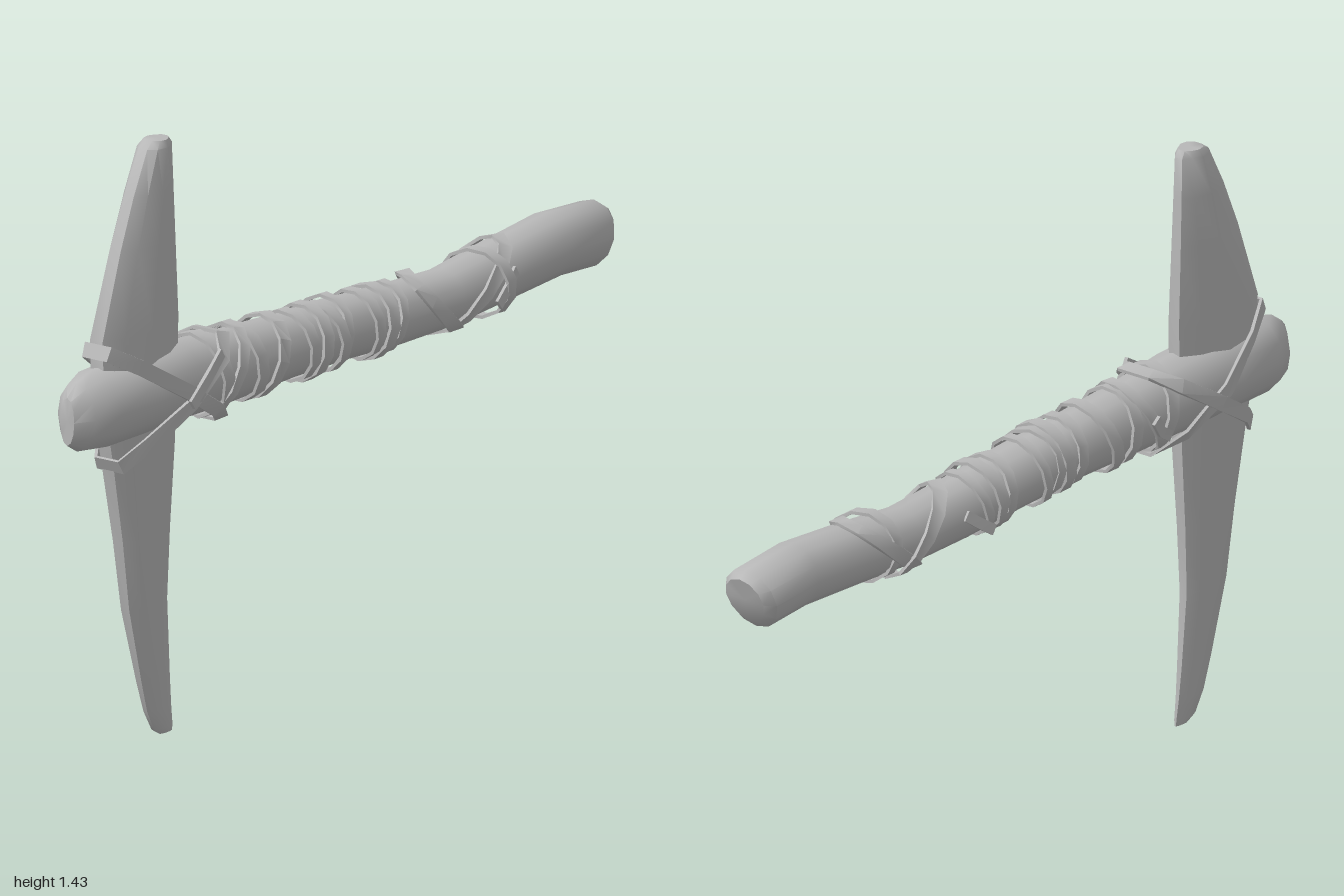
import * as THREE from 'three';
import { toCreasedNormals } from 'three/addons/utils/BufferGeometryUtils.js';

const V = (x, y, z) => new THREE.Vector3(x, y, z);

// Skin a list of equal-length rings; closed joins last to first, otherwise both ends are capped.
function loft(rings, closed, crease) {
  const n = rings[0].length, m = rings.length, pts = rings.flat(), index = [];
  for (let i = 0; i < (closed ? m : m - 1); i++) {
    for (let j = 0; j < n; j++) {
      const k = (j + 1) % n, a = i * n, b = ((i + 1) % m) * n;
      index.push(a + j, a + k, b + j, a + k, b + k, b + j);
    }
  }
  if (!closed) {
    for (const [ring, base, flip] of [[rings[0], 0, true], [rings[m - 1], (m - 1) * n, false]]) {
      const c = ring.reduce((s, p) => s.add(p), V(0, 0, 0)).divideScalar(n);
      const ci = pts.push(c) - 1;
      for (let j = 0; j < n; j++) {
        const k = (j + 1) % n;
        index.push(ci, base + (flip ? k : j), base + (flip ? j : k));
      }
    }
  }
  const g = new THREE.BufferGeometry().setFromPoints(pts);
  g.setIndex(index);
  return toCreasedNormals(g, crease);
}

// Handle sections: z, bottom y, top y, left x, right x
const SECTIONS = [
  [-0.98, 0.785, 0.9, -0.07, 0.04],
  [-0.955, 0.762, 0.915, -0.09, 0.062],
  [-0.8, 0.77, 0.925, -0.09, 0.068],
  [-0.6, 0.757, 0.905, -0.085, 0.07],
  [-0.4, 0.742, 0.882, -0.078, 0.066],
  [-0.2, 0.742, 0.89, -0.08, 0.068],
  [0, 0.752, 0.903, -0.085, 0.073],
  [0.2, 0.755, 0.91, -0.083, 0.075],
  [0.45, 0.748, 0.925, -0.085, 0.078],
  [0.6, 0.75, 0.938, -0.095, 0.087],
  [0.75, 0.748, 0.938, -0.097, 0.09],
  [0.9, 0.745, 0.935, -0.088, 0.08],
  [0.96, 0.752, 0.918, -0.06, 0.052],
  [1.0, 0.775, 0.89, -0.022, 0.02],
];

function sectionAt(z) {
  let i = 0;
  while (i < SECTIONS.length - 2 && SECTIONS[i + 1][0] < z) i++;
  const a = SECTIONS[i], b = SECTIONS[i + 1];
  const t = THREE.MathUtils.clamp((z - a[0]) / (b[0] - a[0]), 0, 1);
  return a.map((v, k) => v + (b[k] - v) * t);
}

function onHandle(z, angle, lift) {
  const [, y0, y1, x0, x1] = sectionAt(z);
  return V((x0 + x1) / 2 + ((x1 - x0) / 2 + lift) * Math.cos(angle),
    (y0 + y1) / 2 + ((y1 - y0) / 2 + lift) * Math.sin(angle), z);
}

function handleGeometry() {
  const rings = SECTIONS.map(([z]) => Array.from({ length: 12 }, (_, j) => {
    const p = onHandle(z, (j / 12) * Math.PI * 2, 0);
    if (z < -0.9) p.z -= 0.02 * Math.sin((j / 12) * Math.PI * 2); // slanted butt
    return p;
  }));
  return loft(rings, false, 0.9);
}

// Blade sections: y, back z, front z, half width
const BLADE = [
  [0.005, 0.606, 0.65, 0.006], [0.02, 0.606, 0.675, 0.011], [0.07, 0.613, 0.703, 0.016],
  [0.15, 0.621, 0.728, 0.023], [0.33, 0.635, 0.778, 0.035], [0.5, 0.627, 0.805, 0.042],
  [0.7, 0.612, 0.845, 0.05], [0.85, 0.605, 0.88, 0.054], [1.0, 0.6, 0.885, 0.053],
  [1.2, 0.609, 0.815, 0.046], [1.32, 0.614, 0.764, 0.041], [1.42, 0.618, 0.712, 0.036],
  [1.436, 0.63, 0.69, 0.028],
];
// Blade outline: depth fraction from the back, width fraction
const HALF = [[1, 0.35], [0.82, 0.85], [0.5, 1], [0.2, 0.72], [0, 0.3]];

function bladeGeometry() {
  const outline = [...HALF, ...HALF.map(([t, w]) => [t, -w]).reverse()];
  const rings = BLADE.map(([y, zb, zf, w]) =>
    outline.map(([t, s]) => V(-0.006 + w * s, y, zb + (zf - zb) * t)));
  return loft(rings, false, 0.7);
}

// Flat strip along a path, facing the given normals
function strip(path, normals, width, closed, thick = 0.008) {
  const n = path.length;
  const rings = path.map((p, i) => {
    const next = path[closed ? (i + 1) % n : Math.min(i + 1, n - 1)];
    const prev = path[closed ? (i + n - 1) % n : Math.max(i - 1, 0)];
    const t = next.clone().sub(prev).normalize();
    const u = normals[i].clone().addScaledVector(t, -normals[i].dot(t)).normalize();
    const v = t.clone().cross(u);
    return [[1, 1], [-1, 1], [-1, -1], [1, -1]].map(([a, b]) =>
      p.clone().addScaledVector(u, (a * thick) / 2).addScaledVector(v, (b * width) / 2));
  });
  return loft(rings, closed, 0.6);
}

// Wraps: z, lean from top to bottom, lean from side to side, width, sideways slip
const WRAPS = [
  [0.5, 0.02, 0.01, 0.035, 0], [0.45, -0.06, 0.02, 0.03, 0],
  [0.37, 0.01, 0.005, 0.035, 0], [0.295, -0.035, 0.01, 0.035, 0],
  [0.18, 0.008, 0.005, 0.032, 0.006], [0.135, -0.012, 0.01, 0.035, 0.008],
  [0.085, 0.01, -0.012, 0.03, 0.008], [0.045, -0.02, 0.012, 0.025, 0],
  [-0.08, 0.008, 0.01, 0.03, 0], [-0.115, -0.015, 0.005, 0.035, 0.004],
  [-0.165, -0.025, 0.008, 0.025, 0], [-0.36, 0.09, 0.06, 0.035, -0.005],
  [-0.49, -0.12, 0.02, 0.035, 0], [-0.52, 0.008, -0.02, 0.03, 0.01],
];

function wrapGeometry([z, lean, side, width, slip], i) {
  const path = [], normals = [];
  for (let j = 0; j < 12; j++) {
    const a = ((j + 0.3 * (i % 3)) / 12) * Math.PI * 2;
    const p = onHandle(z + lean * Math.sin(a) + side * Math.cos(a), a, 0.007 + 0.004 * (i % 2));
    p.x += slip;
    path.push(p);
    normals.push(V(Math.cos(a), Math.sin(a), 0));
  }
  return strip(path, normals, width, true);
}

// Diagonal lashing: round the blade's front edge on one side, under the handle on the other
function lashingGeometry(up) {
  const half = up > 0
    ? [[0.035, 0.975, 0.89], [0.07, 0.93, 0.81], [0.104, 0.85, 0.68], [0.088, 0.775, 0.55], [0.04, 0.735, 0.48]]
    : [[0.035, 0.695, 0.845], [0.07, 0.74, 0.79], [0.104, 0.82, 0.66], [0.088, 0.9, 0.53], [0.04, 0.935, 0.475]];
  const pts = [...half, ...half.map(([x, y, z]) => [-x, y, z]).reverse()].map((p) => V(...p));
  if (up < 0) pts.reverse();
  const normals = pts.map((p) => p.z > 0.75
    ? V(p.x * 1.5, (p.y - 0.84) * 0.3, 0.1) : V(p.x * 1.5, p.y - 0.84, 0));
  return strip(pts, normals, 0.036, true);
}

// Loose strap ends
const ENDS = [
  [[0.09, 0.91, 0.54], [0.107, 0.87, 0.61], [0.113, 0.82, 0.68]],
  [[-0.085, 0.79, 0.49], [-0.1, 0.82, 0.44], [-0.108, 0.86, 0.41]],
  [[-0.08, 0.83, -0.25], [-0.095, 0.8, -0.21], [-0.105, 0.78, -0.18]],
  [[0.07, 0.85, -0.58], [0.085, 0.82, -0.53], [0.09, 0.79, -0.49]],
];

export function createModel() {
  const stone = new THREE.MeshStandardMaterial({ color: 0xb8b8b8 });
  stone.name = 'plainGrey';
  const model = new THREE.Group();
  model.name = 'pickaxe';
  const add = (name, geometry, parent = model) => {
    const mesh = new THREE.Mesh(geometry, stone);
    mesh.name = name;
    parent.add(mesh);
  };
  add('handle', handleGeometry());
  add('blade', bladeGeometry());

  const wraps = new THREE.Group();
  wraps.name = 'wraps';
  model.add(wraps);
  WRAPS.forEach((w, i) => add('wrap' + (i + 1), wrapGeometry(w, i), wraps));
  add('upperLashing', lashingGeometry(1), wraps);
  add('lowerLashing', lashingGeometry(-1), wraps);
  ENDS.forEach((e, i) => {
    const path = e.map((p) => V(...p));
    add('looseEnd' + (i + 1), strip(path, path.map((p) => V(Math.sign(p.x), 0, 0)), 0.026, false), wraps);
  });
  return model;
}
